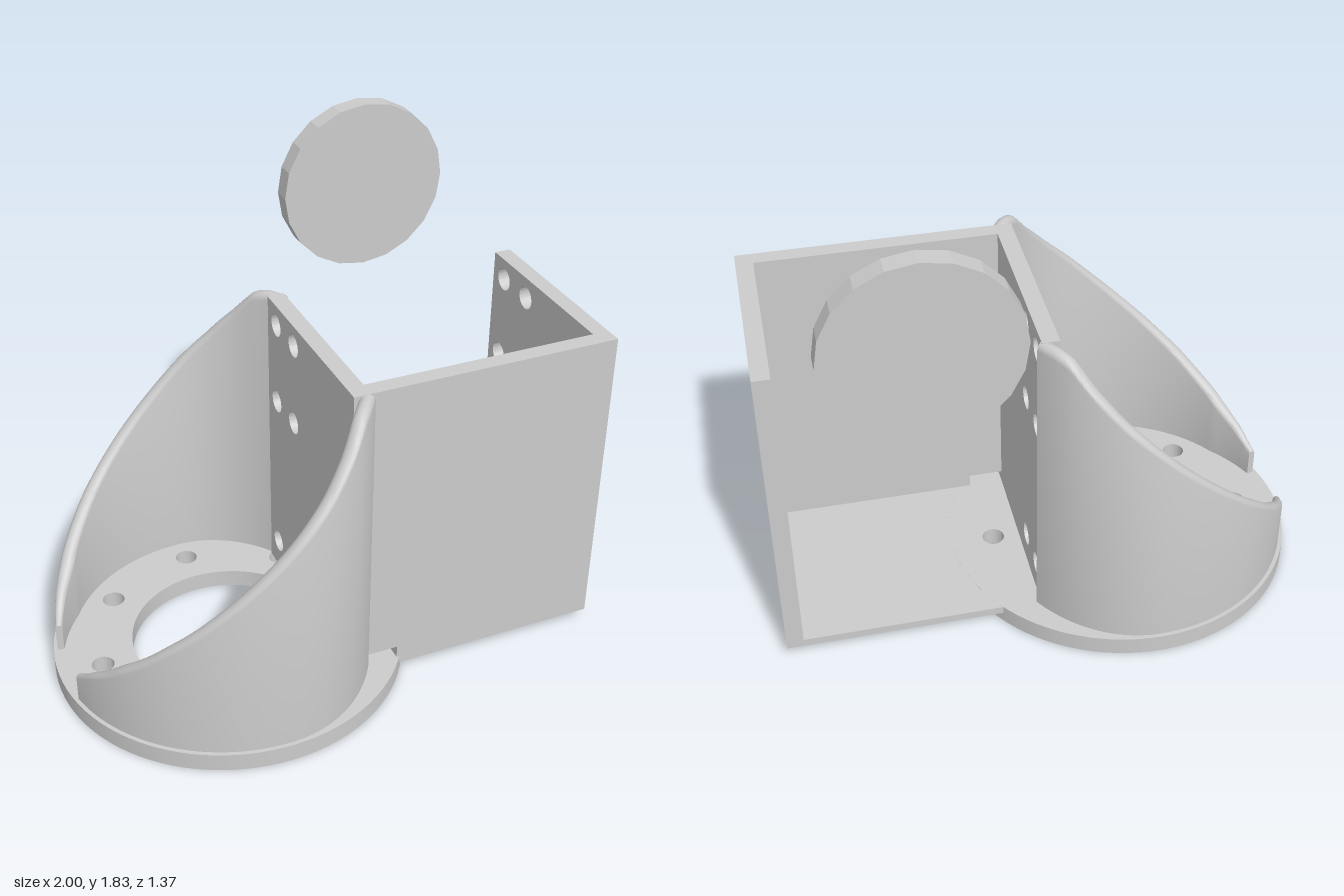
import * as THREE from 'three';
import { toCreasedNormals } from 'three/addons/utils/BufferGeometryUtils.js';

const CX = -0.34, CZ = 0.025;      // centre of the base ring
const BASE_R = 0.66, BASE_H = 0.07;
const TOP = 1.25, BOTTOM = 0.04;   // bracket height range
const BACK = -0.36, FRONT = 0.41, WALL = 0.063;

const material = new THREE.MeshStandardMaterial({ color: 0xcccccc });

function part(name, geometry) {
  const mesh = new THREE.Mesh(toCreasedNormals(geometry, 0.5), material);
  mesh.name = name;
  return mesh;
}

function circleHole(x, y, r) {
  return new THREE.Path().absarc(x, y, r, 0, Math.PI * 2, true);
}

function polygon(points) {
  return new THREE.Shape(points.map(([x, y]) => new THREE.Vector2(x, y)));
}

function extrude(shape, depth, curveSegments = 24) {
  return new THREE.ExtrudeGeometry(shape, { depth, bevelEnabled: false, curveSegments });
}

// Flat plate drawn in x/z, with its upper face at the given height
function flatPlate(shape, top, depth, segments) {
  return extrude(shape, depth, segments).rotateX(Math.PI / 2).translate(0, top, 0);
}

// Upright plate drawn in z/y with two columns of bolt holes
function sideWall(name, right, front, bottom) {
  const shape = polygon([[BACK, bottom], [front, bottom], [front, TOP], [BACK, TOP]]);
  for (const y of [1.17, 0.845, 0.19])
    for (const z of [-0.115, -0.28]) shape.holes.push(circleHole(z, y, 0.044));
  return part(name, extrude(shape, WALL).rotateY(-Math.PI / 2).translate(right, 0, 0));
}

// Height of the guard's sloping rim along x
const RIM = [[-0.97, 0.18], [-0.94, 0.25], [-0.87, 0.355], [-0.74, 0.5], [-0.6, 0.635],
  [-0.4, 0.82], [-0.18, 1.03], [-0.08, 1.14], [-0.01, 1.235], [0.03, TOP]];

function rimHeight(x) {
  if (x <= RIM[0][0]) return RIM[0][1];
  for (let i = 1; i < RIM.length; i++) {
    const [x0, y0] = RIM[i - 1], [x1, y1] = RIM[i];
    if (x <= x1) return y0 + (y1 - y0) * (x - x0) / (x1 - x0);
  }
  return TOP;
}

// Curved guard wall: rounded cross-sections swept from its low tip to the bracket
function guardGeometry(side) {
  const STEPS = 56, ARC = 8, N = ARC + 3;
  const start = 0.226, end = Math.PI - 0.64;
  const positions = [], index = [];
  for (let i = 0; i <= STEPS; i++) {
    const t = start + (end - start) * i / STEPS;
    const c = Math.cos(t), s = Math.sin(t);
    const a = c > 0 ? 0.645 : 0.51;
    const w = 0.025 + 0.03 * Math.min(1, i / 8);
    const h = rimHeight(CX - a * c);
    const add = (inset, y) =>
      positions.push(CX - (a - inset) * c, y, CZ + side * (0.645 - inset) * s);
    add(0, BASE_H - 0.01);
    for (let k = 0; k <= ARC; k++) {
      const p = Math.PI * k / ARC;
      add(w / 2 * (1 - Math.cos(p)), h - w / 2 * (1 - Math.sin(p)));
    }
    add(w, BASE_H - 0.01);
  }
  const tri = (p, q, r) => side > 0 ? index.push(p, q, r) : index.push(p, r, q);
  for (let i = 0; i < STEPS; i++)
    for (let j = 0; j < N; j++) {
      const k = (j + 1) % N, p = i * N, q = p + N;
      tri(p + j, q + j, q + k);
      tri(p + j, q + k, p + k);
    }
  for (let k = 1; k < N - 1; k++) {
    tri(0, k, k + 1);
    tri(STEPS * N, STEPS * N + k + 1, STEPS * N + k);
  }
  const g = new THREE.BufferGeometry();
  g.setAttribute('position', new THREE.Float32BufferAttribute(positions, 3));
  g.setIndex(index);
  return g;
}

export function createModel() {
  const model = new THREE.Group();
  model.name = 'motorBracket';

  // Base ring with a wide bore and eight bolt holes
  const ring = new THREE.Shape().absarc(CX, CZ, BASE_R, 0, Math.PI * 2);
  ring.holes.push(circleHole(CX, CZ, 0.365));
  for (let i = 0; i < 8; i++) {
    const a = i * Math.PI / 4;
    ring.holes.push(circleHole(CX + 0.495 * Math.cos(a), CZ + 0.495 * Math.sin(a), 0.042));
  }
  model.add(part('baseRing', flatPlate(ring, BASE_H, BASE_H, 48)));

  // Curved guards on both sides of the ring
  model.add(part('frontGuard', guardGeometry(1)), part('backGuard', guardGeometry(-1)));

  // Floor that fits around the ring
  const a = Math.asin((FRONT - CZ) / BASE_R);
  const floor = new THREE.Shape().moveTo(1, BACK).lineTo(1, FRONT);
  floor.absarc(CX, CZ, BASE_R, a, -a, true);
  model.add(part('floor', flatPlate(floor, BASE_H, BASE_H - BOTTOM)));

  // Channel walls, open to the back; the front wall is notched above the ring
  model.add(sideWall('innerWall', 0.053, FRONT, BASE_H));
  model.add(sideWall('outerWall', 1, FRONT - WALL, BOTTOM));
  const front = polygon([[0.053, 0.12], [0.185, 0.12], [0.185, BOTTOM], [1, BOTTOM],
    [1, TOP], [0.053, TOP]]);
  model.add(part('frontWall', extrude(front, WALL).translate(0, 0, FRONT - WALL)));

  // Separate round cover floating behind the bracket
  const cover = new THREE.CylinderGeometry(0.325, 0.325, 0.073, 20).rotateX(Math.PI / 2);
  model.add(part('roundCover', cover.translate(0.49, 1.5, -0.651)));
  model.getObjectByName('roundCover').material = new THREE.MeshStandardMaterial({
    color: 0xcccccc, flatShading: true });

  return model;
}
